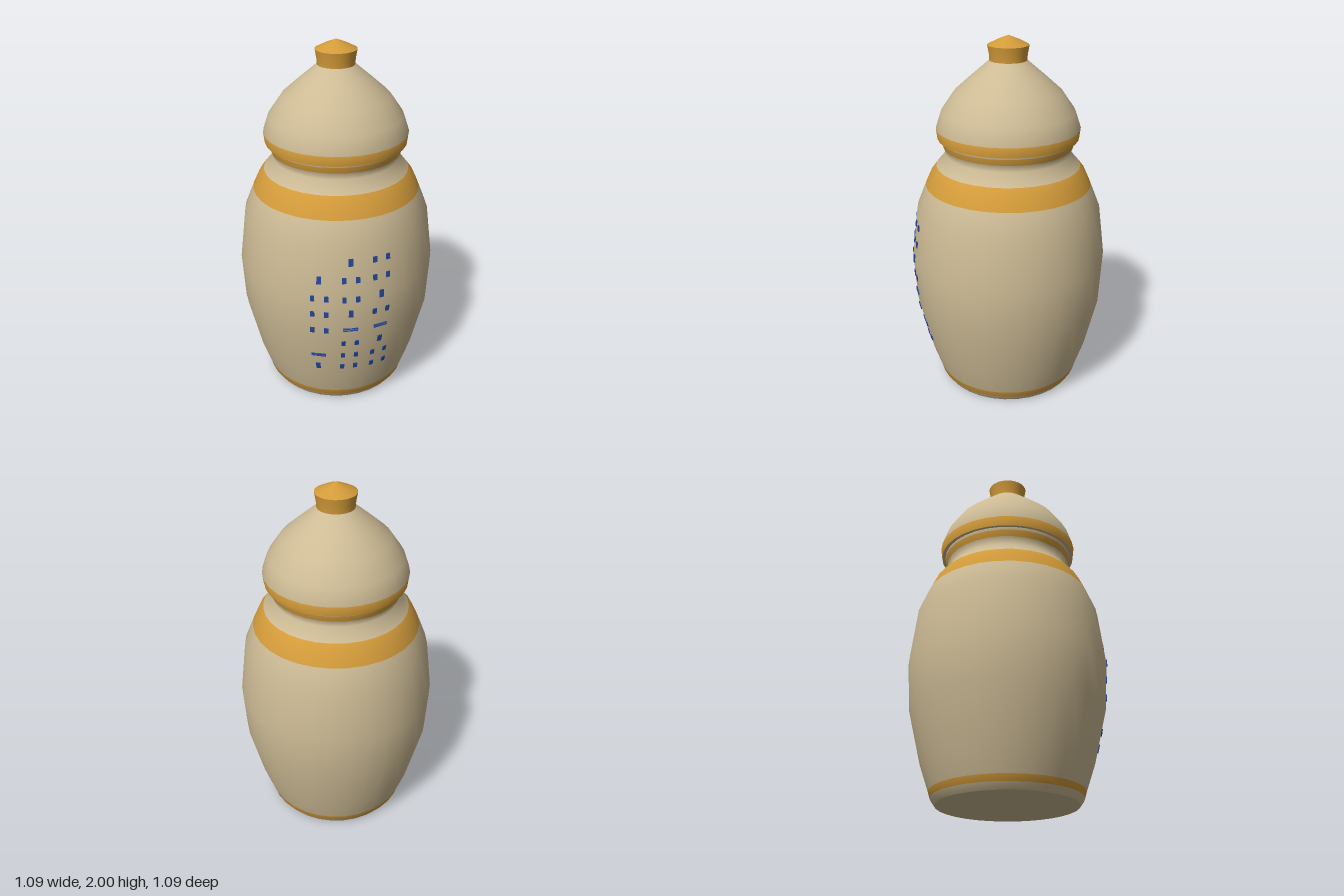
import * as THREE from 'three';

const SEGMENTS = 32;

const flat = (name, color) => {
  const m = new THREE.MeshStandardMaterial({ color });
  m.name = name;
  return m;
};

// Profiles as [radius, height], bottom to top
const BODY = [
  [0.375, 0], [0.4, 0.035], [0.41, 0.07], [0.458, 0.21], [0.53, 0.51], [0.545, 0.775],
  [0.51, 1.06], [0.458, 1.19], [0.425, 1.262], [0.396, 1.3], [0.34, 1.365],
  [0.354, 1.405], [0.365, 1.44], [0.366, 1.46],
];
const LID = [
  [0.385, 1.455], [0.392, 1.51], [0.362, 1.6], [0.29, 1.705], [0.2, 1.785], [0.1, 1.87],
];

// Radius of the body at a height
function bodyRadius(y) {
  const i = BODY.findIndex((p) => p[1] > y);
  const [r0, y0] = BODY[i - 1], [r1, y1] = BODY[i];
  return r0 + ((r1 - r0) * (y - y0)) / (y1 - y0);
}

// Turned surface; the listed profile spans use the second material
function turned(name, profile, materials, bands = []) {
  const points = profile.map(([r, y]) => new THREE.Vector2(r, y));
  const geometry = new THREE.LatheGeometry(points, SEGMENTS);
  const spans = profile.length - 1;
  const source = geometry.index.array;
  const plain = [], banded = [];
  for (let t = 0; t < source.length; t += 6) {
    const target = bands.includes((t / 6) % spans) ? banded : plain;
    target.push(...source.slice(t, t + 6));
  }
  geometry.setIndex([...plain, ...banded]);
  geometry.addGroup(0, plain.length, 0);
  if (banded.length) geometry.addGroup(plain.length, banded.length, 1);
  const mesh = new THREE.Mesh(geometry, materials);
  mesh.name = name;
  return mesh;
}

export function createModel() {
  const cream = flat('cream glaze', 0xcdbb95);
  const gold = flat('golden brown glaze', 0xd39b3a);
  const blue = flat('blue paint', 0x24479a);
  const glazes = [cream, gold];

  const jar = new THREE.Group();
  jar.name = 'jar';

  // Body with foot, shoulder and neck bands
  jar.add(turned('body', BODY, glazes, [1, 7, 8, 11]));
  jar.add(turned('base', [[0, 0], [0.375, 0]], glazes));

  // Lid with rim band, underside and knob
  const lid = new THREE.Group();
  lid.name = 'lid';
  lid.add(
    turned('lidDome', LID, glazes, [0]),
    turned('lidUnderside', [[0.34, 1.46], [0.385, 1.455]], glazes),
    turned('knobSide', [[0.1, 1.865], [0.102, 1.9], [0.111, 1.95]], [gold]),
    turned('knobCap', [[0.111, 1.95], [0.06, 1.976], [0, 2]], [gold]),
  );
  jar.add(lid);

  // Plain painted dabs in three columns on the front
  const dabs = new THREE.Group();
  dabs.name = 'paintedDabs';
  function dab(x, y, width, height) {
    const r = bodyRadius(y);
    const slope = (bodyRadius(y + 0.01) - bodyRadius(y - 0.01)) / 0.02;
    const angle = Math.asin(x / r);
    const mesh = new THREE.Mesh(new THREE.BoxGeometry(width, height, 0.008), blue);
    mesh.name = 'dab';
    mesh.position.set(x, y, r * Math.cos(angle));
    mesh.rotation.set(Math.atan(slope), angle, 0, 'YXZ');
    dabs.add(mesh);
  }
  const patterns = {
    dot: (x, y) => dab(x, y, 0.024, 0.042),
    pair: (x, y) => [-0.036, 0.036].forEach((d) => dab(x + d, y, 0.022, 0.032)),
    dash: (x, y) => [-0.006, 0.006].forEach((d) => dab(x, y + d, 0.08, 0.005)),
  };
  const columns = [
    [-0.165, { dot: [0.88, 0.295], pair: [0.775, 0.675, 0.57], dash: [0.385] }],
    [0, { dot: [0.98, 0.68], pair: [0.88, 0.77, 0.48, 0.385, 0.295], dash: [0.575] }],
    [0.165, { dot: [0.78, 0.48], pair: [0.98, 0.88, 0.675, 0.38, 0.29], dash: [0.575] }],
  ];
  for (const [x, rows] of columns) {
    for (const [kind, heights] of Object.entries(rows)) {
      heights.forEach((y) => patterns[kind](x, y));
    }
  }
  jar.add(dabs);

  return jar;
}
